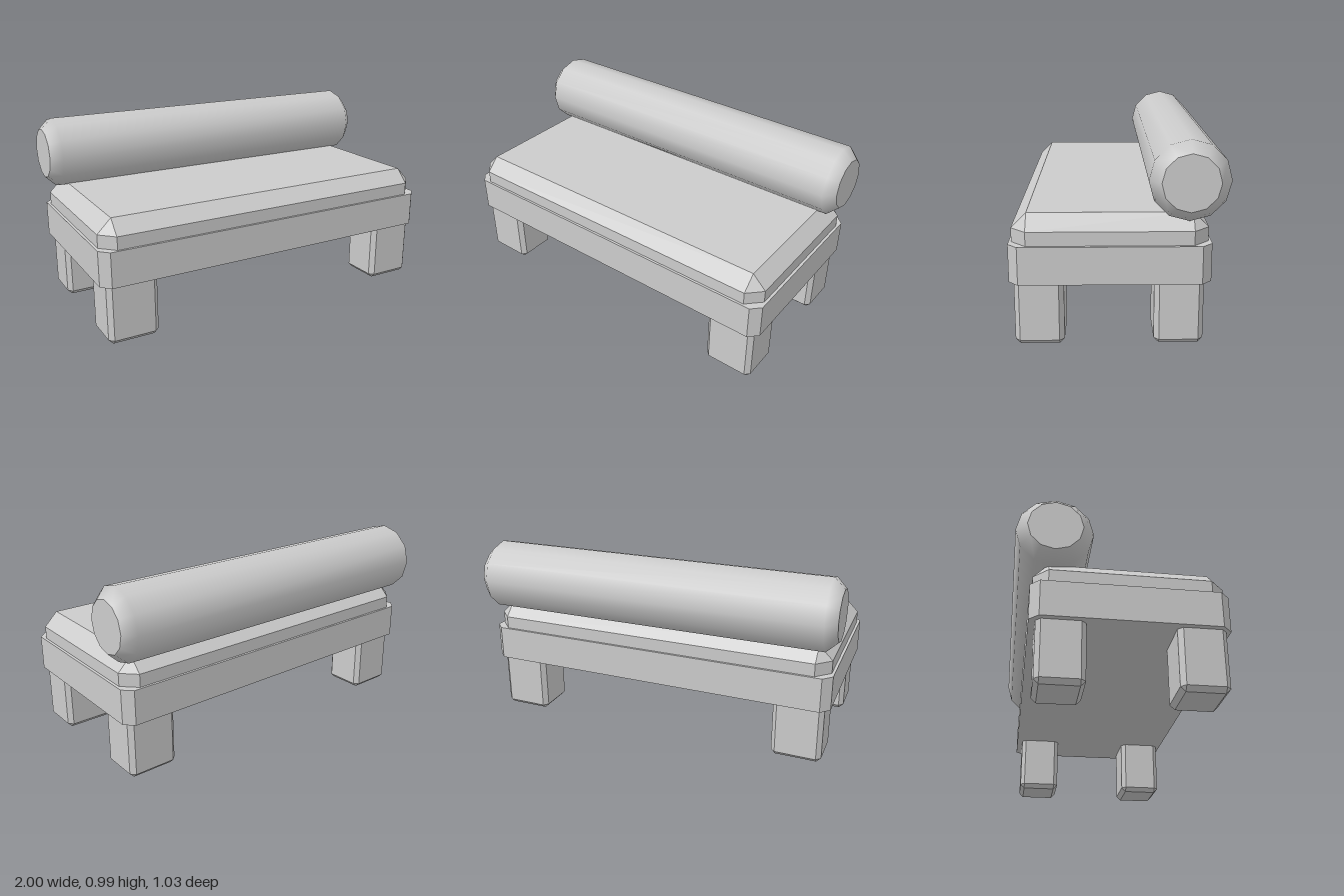
import * as THREE from 'three';

const material = new THREE.MeshStandardMaterial({ color: 0xcccccc });

// Rectangle outline with cut corners, counter-clockwise seen from above
function outline(w, d, y, cut) {
  const x = w / 2, z = d / 2;
  return [
    [x, z - cut], [x, -z + cut], [x - cut, -z], [-x + cut, -z],
    [-x, -z + cut], [-x, z - cut], [-x + cut, z], [x - cut, z],
  ].map(([px, pz]) => new THREE.Vector3(px, y, pz));
}

// Block with cut vertical corners; top and bottom edges may be bevelled too
function chamferedBlock(name, w, d, y0, y1, cut, bevelBottom, bevelTop) {
  const rings = [];
  const inner = (y) => outline(w - 2 * cut, d - 2 * cut, y, 0);
  if (bevelBottom) rings.push(inner(y0));
  rings.push(outline(w, d, y0 + bevelBottom, cut), outline(w, d, y1 - bevelTop, cut));
  if (bevelTop) rings.push(inner(y1));

  const points = [];
  const face = (a, b, c) => {
    if (new THREE.Triangle(a, b, c).getArea() > 1e-7) points.push(a, b, c);
  };
  for (let r = 0; r < rings.length - 1; r++) {
    const lo = rings[r], hi = rings[r + 1];
    for (let i = 0; i < 8; i++) {
      const j = (i + 1) % 8;
      face(lo[i], lo[j], hi[j]);
      face(lo[i], hi[j], hi[i]);
    }
  }
  const bottom = rings[0], top = rings[rings.length - 1];
  for (let i = 1; i < 7; i++) {
    face(bottom[0], bottom[i + 1], bottom[i]);
    face(top[0], top[i], top[i + 1]);
  }
  const geometry = new THREE.BufferGeometry().setFromPoints(points);
  geometry.computeVertexNormals();
  const mesh = new THREE.Mesh(geometry, material);
  mesh.name = name;
  return mesh;
}

// Round bolster along x with bevelled ends
function createBolster() {
  const group = new THREE.Group();
  group.name = 'backBolster';
  const profile = [[0.135, -1], [0.19, -0.943], [0.19, 0.943], [0.135, 1]]
    .map(([r, y]) => new THREE.Vector2(r, y));
  const body = new THREE.Mesh(new THREE.LatheGeometry(profile, 12).rotateZ(Math.PI / 2), material);
  body.name = 'bolsterBody';
  group.add(body);
  for (const side of [-1, 1]) {
    const cap = new THREE.Mesh(new THREE.CircleGeometry(0.135, 12).rotateY(side * Math.PI / 2), material);
    cap.name = side > 0 ? 'bolsterEndLeft' : 'bolsterEndRight';
    cap.position.x = side;
    group.add(cap);
  }
  group.position.set(0, 0.802, -0.325);
  return group;
}

export function createModel() {
  const model = new THREE.Group();
  model.name = 'bench';

  // Seat frame, cushion and legs share one centre
  const base = new THREE.Group();
  base.name = 'seatBase';
  base.position.set(-0.004, 0, 0.04);
  base.add(chamferedBlock('seatFrame', 1.965, 0.95, 0.315, 0.5, 0.047, 0, 0));
  base.add(chamferedBlock('seatCushion', 1.936, 0.925, 0.5, 0.641, 0.073, 0, 0.073));

  // Four legs
  for (const sx of [-1, 1]) {
    for (const sz of [-1, 1]) {
      const name = (sz > 0 ? 'front' : 'back') + (sx > 0 ? 'Left' : 'Right') + 'Leg';
      const leg = chamferedBlock(name, 0.268, 0.235, 0, 0.315, 0.024, 0.024, 0);
      leg.position.set(sx * 0.819, 0, 0.005 + sz * 0.33);
      base.add(leg);
    }
  }
  model.add(base, createBolster());
  return model;
}
